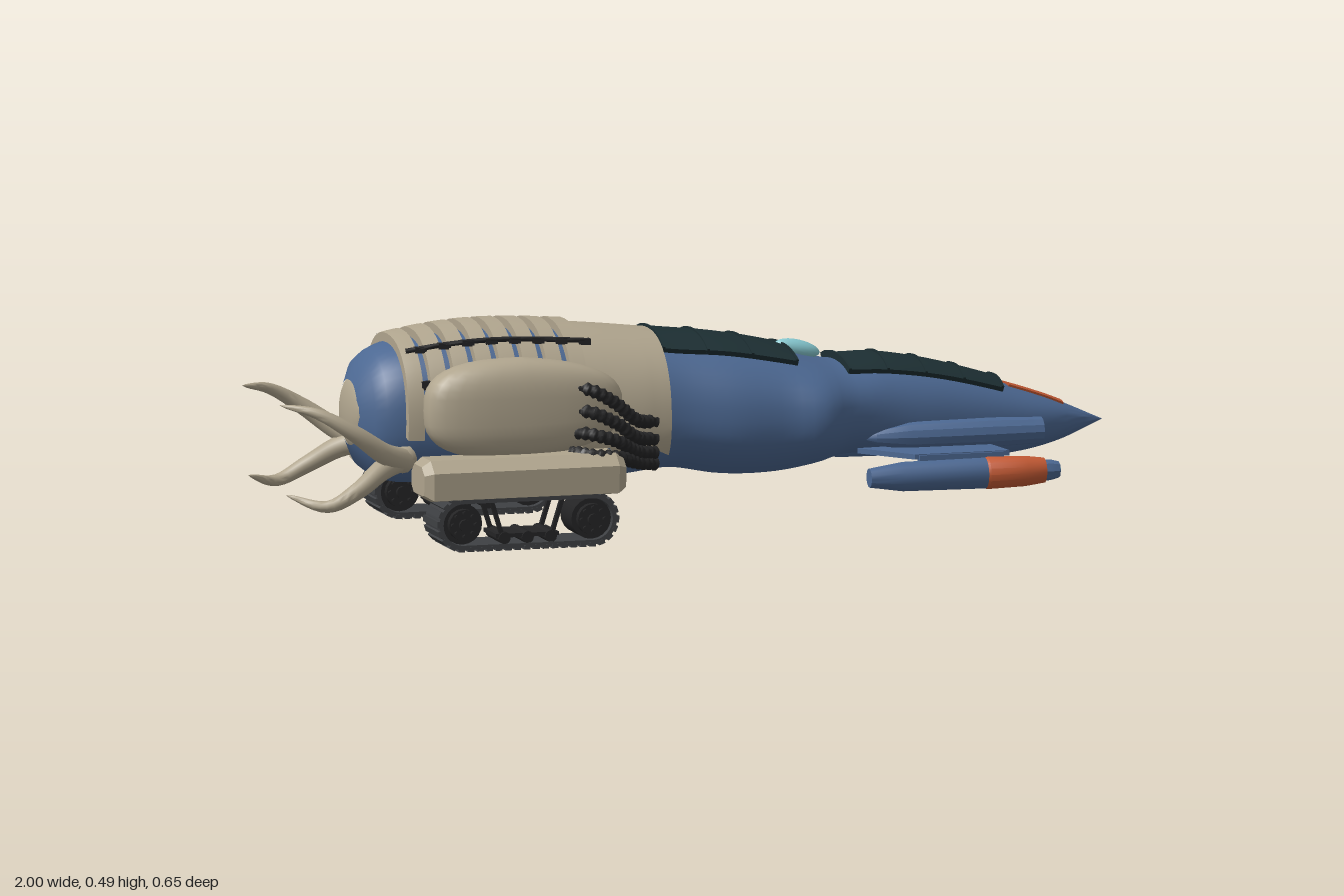
import * as THREE from 'three';
import { toCreasedNormals, mergeGeometries } from 'three/addons/utils/BufferGeometryUtils.js';

const paint = (color) => new THREE.MeshStandardMaterial({ color });
const V = (x, y, z) => new THREE.Vector3(x, y, z);

// Hull stations along x: half width, bottom, top, height of the widest line
const stations = [
  [-0.79, 0.07, 0.21, 0.36, 0.28], [-0.77, 0.12, 0.165, 0.4, 0.28], [-0.72, 0.152, 0.13, 0.435, 0.28],
  [-0.65, 0.165, 0.12, 0.452, 0.28], [-0.5, 0.178, 0.11, 0.468, 0.28], [-0.27, 0.185, 0.11, 0.458, 0.27],
  [-0.15, 0.188, 0.12, 0.446, 0.26], [-0.05, 0.185, 0.13, 0.434, 0.26], [0.08, 0.202, 0.11, 0.418, 0.25],
  [0.2, 0.205, 0.11, 0.395, 0.25], [0.29, 0.216, 0.125, 0.37, 0.25], [0.36, 0.178, 0.142, 0.355, 0.25],
  [0.45, 0.15, 0.14, 0.356, 0.24], [0.58, 0.13, 0.128, 0.335, 0.225], [0.75, 0.1, 0.122, 0.287, 0.205],
  [0.88, 0.066, 0.145, 0.243, 0.195], [1, 0, 0.19, 0.19, 0.19],
];
const sampler = new THREE.CubicInterpolant(
  stations.map((s) => s[0]), new Float64Array(stations.flatMap((s) => s.slice(1))), 4);
const soft = (t) => Math.sign(t) * Math.pow(Math.abs(t), 0.87);

// Point on the hull at x; a = angle from the top, grow = offset outwards
function hullPoint(x, a, grow = 0) {
  const [w, yb, yt, ym] = sampler.evaluate(x);
  const c = soft(Math.cos(a));
  return V(x, ym + c * (c > 0 ? yt - ym + grow : ym - yb + grow), (w + grow) * soft(Math.sin(a)));
}

// Surface from a rule p(u, v)
function grid(p, nu, nv, crease = 0.6) {
  const pos = [], index = [];
  for (let i = 0; i <= nu; i++) for (let j = 0; j <= nv; j++) pos.push(...p(i / nu, j / nv, i, j).toArray());
  for (let i = 0; i < nu; i++) for (let j = 0; j < nv; j++) {
    const a = i * (nv + 1) + j, c = a + nv + 1;
    index.push(a, a + 1, c, a + 1, c + 1, c);
  }
  const g = new THREE.BufferGeometry();
  g.setAttribute('position', new THREE.Float32BufferAttribute(pos, 3));
  g.setIndex(index);
  return toCreasedNormals(g, crease);
}

// Raised panel following the hull; half(x) gives its half angle
function panel(x0, x1, half, grow, nu = 6, nv = 20) {
  return grid((u, v, i, j) => {
    const edge = i === 0 || i === nu || j === 0 || j === nv;
    const cu = Math.min(Math.max((i - 1) / (nu - 2), 0), 1), cv = Math.min(Math.max((j - 1) / (nv - 2), 0), 1);
    const x = x0 + (x1 - x0) * cu;
    return hullPoint(x, half(x) * (cv * 2 - 1), edge ? -0.006 : grow);
  }, nu, nv);
}
const halfAngle = (z, x) => Math.asin(Math.min(1, Math.pow(z / sampler.evaluate(x)[0], 1 / 0.87)));

// Round sweep with a varying radius
function sweep(points, radius, nu, nv) {
  const curve = new THREE.CatmullRomCurve3(points), f = curve.computeFrenetFrames(nu);
  return grid((u, v, i) => curve.getPointAt(u)
    .addScaledVector(f.normals[i], radius(u) * Math.cos(v * Math.PI * 2))
    .addScaledVector(f.binormals[i], radius(u) * Math.sin(v * Math.PI * 2)), nu, nv, 1);
}

// Turned part along x from [x, radius] pairs
function turned(profile, y, z, sides = 16) {
  const g = new THREE.LatheGeometry(profile.map(([x, r]) => new THREE.Vector2(r, x)), sides);
  return toCreasedNormals(g.rotateZ(-Math.PI / 2).translate(0, y, z), 0.5);
}
const disc = (r, depth, x, y, z, sides = 16) =>
  new THREE.CylinderGeometry(r, r, depth, sides).rotateX(Math.PI / 2).translate(x, y, z);

function mirrored(geo) {
  const g = (geo.index ? geo.toNonIndexed() : geo.clone()).scale(1, 1, -1);
  for (const a of Object.values(g.attributes)) {
    const n = a.itemSize;
    for (let t = 0; t < a.count; t += 3) for (let k = 0; k < n; k++) {
      const p = (t + 1) * n + k, q = p + n, keep = a.array[p];
      a.array[p] = a.array[q];
      a.array[q] = keep;
    }
  }
  return g;
}

export function createModel() {
  const root = new THREE.Group();
  const blue = paint(0x4c6892), beige = paint(0xb0a58e), black = paint(0x242425), steel = paint(0x3e4043);
  const glass = paint(0x1d2f33), cyan = paint(0x86c8d0), orange = paint(0xc45a34);
  const add = (name, geo, mat) => {
    const m = new THREE.Mesh(geo, mat);
    m.name = name;
    root.add(m);
  };
  const pair = (name, geo, mat) => {
    add(name + 'Front', geo, mat);
    add(name + 'Back', mirrored(geo), mat);
  };

  // Hull and tail cap
  add('hull', grid((u, v) => hullPoint(-0.79 + 1.79 * u, v * Math.PI * 2), 72, 40, 0.7), blue);
  add('tailCap', new THREE.SphereGeometry(1, 20, 12).scale(0.03, 0.085, 0.085).translate(-0.775, 0.285, 0), beige);

  // Armour collar with a ragged lower edge
  add('collar', panel(-0.29, -0.08, (x) => 2.0 + 0.12 * Math.sin(x * 60), 0.011, 12, 36), beige);

  // Arched ribs over the engine, with dark lines between and two long rods
  for (let i = 0; i < 8; i++) {
    const x = -0.7 + i * 0.055;
    add('rib', panel(x, x + 0.037, () => 1.75, 0.02, 5, 28), beige);
    for (const s of [-1, 1]) {
      const p = hullPoint(x + 0.046, s * 0.62, 0.02);
      add('ribClamp', new THREE.BoxGeometry(0.028, 0.014, 0.016).translate(p.x, p.y, p.z), black);
      const q = hullPoint(x + 0.046, s * 1.15, 0.014);
      add('ribClamp', new THREE.BoxGeometry(0.024, 0.02, 0.014).translate(q.x, q.y, q.z), black);
    }
  }
  const rod = [-0.69, -0.6, -0.5, -0.4, -0.27].map((x) => hullPoint(x, 0.62, 0.024));
  pair('longRod', sweep(rod, () => 0.006, 20, 8), black);

  // Canopies with raised frames
  for (const [x0, x1, z0, z1, frames] of [[-0.08, 0.24, 0.115, 0.125, 4], [0.365, 0.745, 0.108, 0.066, 5]]) {
    const half = (x) => halfAngle(z0 + (z1 - z0) * (x - x0) / (x1 - x0), x);
    add('canopy', panel(x0, x1, half, 0.013, 14, 20), glass);
    for (let i = 0; i < frames; i++) {
      const x = x0 + (x1 - x0 - 0.006) * i / (frames - 1);
      add('canopyFrame', panel(x, x + 0.006, half, 0.017, 4, 20), glass);
    }
  }
  add('nosePanel', panel(0.77, 0.9, (x) => halfAngle(0.027, x), 0.005, 6, 8), orange);
  add('beacon', new THREE.SphereGeometry(1, 16, 12).scale(0.055, 0.02, 0.021).rotateZ(-0.25).translate(0.275, 0.385, 0), cyan);

  // Rounded side housings
  const housing = new THREE.SphereGeometry(1, 28, 20);
  const hp = housing.attributes.position;
  const box = (t) => Math.sign(t) * Math.pow(Math.abs(t), 0.7);
  for (let i = 0; i < hp.count; i++) {
    const x = box(hp.getX(i)), slim = 1 - 0.2 * Math.max(0, x);
    hp.setXYZ(i, -0.435 + 0.235 * x, 0.31 + 0.115 * box(hp.getY(i)) * slim, 0.2 + 0.07 * box(hp.getZ(i)) * slim);
  }
  housing.computeVertexNormals();
  pair('sideHousing', housing, beige);

  // Track skirts: chamfered bars along x
  const oct = new THREE.Shape([[-0.05, -0.03], [-0.035, -0.033], [0.035, -0.033], [0.053, -0.018], [0.053, 0.012],
    [0.03, 0.033], [-0.03, 0.033], [-0.053, 0.015]].map((p) => new THREE.Vector2(...p)));
  pair('trackSkirt', new THREE.ExtrudeGeometry(oct, { depth: 0.44, bevelSize: 0.014, bevelThickness: 0.02, bevelSegments: 1 })
    .rotateY(Math.PI / 2).translate(-0.68, 0.163, 0.252), beige);

  // Track belt
  const xa = -0.608, xb = -0.302, yc = 0.063, zc = 0.253;
  const loop = (shape, r) => shape.absarc(xa, yc, r, Math.PI / 2, Math.PI * 1.5)
    .absarc(xb, yc, r, -Math.PI / 2, Math.PI / 2).closePath();
  const belt = loop(new THREE.Shape(), 0.058);
  belt.holes.push(loop(new THREE.Path(), 0.048));
  pair('trackBelt', new THREE.ExtrudeGeometry(belt, { depth: 0.114, bevelEnabled: false, curveSegments: 14 })
    .translate(0, 0, zc - 0.057), steel);
  const lugPath = loop(new THREE.Path(), 0.058), lugs = [];
  for (let i = 0; i < 44; i++) {
    const p = lugPath.getPointAt(i / 44), t = lugPath.getTangentAt(i / 44);
    lugs.push(new THREE.BoxGeometry(0.015, 0.01, 0.116).rotateZ(Math.atan2(t.y, t.x)).translate(p.x, p.y, zc));
  }
  pair('trackLugs', mergeGeometries(lugs), steel);

  // Wheels, hubs, bolts, rollers and struts
  const gear = [];
  for (const x of [xa, xb]) {
    gear.push(disc(0.047, 0.09, x, yc, zc, 20), disc(0.036, 0.124, x, yc, zc), disc(0.014, 0.142, x, yc, zc, 10));
    for (let k = 0; k < 8; k++) {
      const a = k * Math.PI / 4;
      gear.push(disc(0.006, 0.14, x + 0.027 * Math.cos(a), yc + 0.027 * Math.sin(a), zc, 6));
    }
  }
  for (const x of [-0.51, -0.455, -0.4]) gear.push(disc(0.014, 0.11, x, 0.028, zc, 12));
  gear.push(new THREE.BoxGeometry(0.15, 0.009, 0.1).translate(-0.455, 0.033, zc));
  for (const s of [-1, 1]) for (const z of [-0.045, 0.045]) {
    gear.push(new THREE.BoxGeometry(0.009, 0.1, 0.012).rotateZ(-s * 0.3).translate(-0.455 + s * 0.073, 0.078, zc + z));
  }
  pair('trackWheels', mergeGeometries(gear), black);

  // Ribbed hoses from the housings to the hull
  [[0.355, 0.262], [0.305, 0.222], [0.255, 0.19], [0.208, 0.165]].forEach(([y0, y1], i) => {
    const z = 0.252 + 0.008 * i;
    pair('hose', sweep([V(-0.33, y0, 0.235), V(-0.29, y0 - 0.004, z), V(-0.23, (y0 + y1) / 2 + 0.01, z - 0.006),
      V(-0.17, y1 + 0.01, 0.222), V(-0.12, y1, 0.188)], (u) => 0.0145 + 0.0022 * Math.cos(u * Math.PI * 28), 84, 10), black);
  });

  // Tail tusks
  const taper = (r) => (u) => r * Math.pow(1 - u, 0.6);
  pair('upperTusk', sweep([V(-0.7, 0.19, 0.145), V(-0.76, 0.215, 0.19), V(-0.84, 0.27, 0.212), V(-0.92, 0.315, 0.197),
    V(-1, 0.333, 0.15)], taper(0.029), 24, 12), beige);
  pair('lowerTusk', sweep([V(-0.69, 0.2, 0.14), V(-0.76, 0.178, 0.175), V(-0.83, 0.135, 0.205), V(-0.9, 0.102, 0.205),
    V(-0.985, 0.125, 0.15)], taper(0.029), 24, 12), beige);

  // Wings and outer pods
  const wing = new THREE.Shape([[0.38, -0.13], [0.68, -0.1], [0.705, -0.255], [0.48, -0.255]].map((p) => new THREE.Vector2(...p)));
  pair('wing', new THREE.ExtrudeGeometry(wing, { depth: 0.012, bevelEnabled: false }).rotateX(-Math.PI / 2).translate(0, 0.157, 0), blue);
  pair('podPylon', new THREE.BoxGeometry(0.2, 0.03, 0.02).translate(0.59, 0.152, 0.252), blue);
  pair('outerPod', turned([[0.37, 0], [0.37, 0.022], [0.45, 0.034], [0.645, 0.036]], 0.12, 0.26), blue);
  pair('podBand', turned([[0.645, 0.036], [0.65, 0.038], [0.74, 0.035], [0.785, 0.029], [0.785, 0.02]], 0.12, 0.26), orange);
  pair('podNozzle', turned([[0.775, 0.024], [0.8, 0.024], [0.82, 0.019], [0.82, 0]], 0.12, 0.26, 8), blue);
  pair('podLight', turned([[0.815, 0.009], [0.824, 0.007], [0.825, 0]], 0.12, 0.26, 10), cyan);

  // Inner lamp pods
  pair('lampPod', turned([[0.38, 0], [0.42, 0.018], [0.5, 0.032], [0.7, 0.034], [0.79, 0.031], [0.815, 0.031], [0.815, 0.025],
    [0.805, 0.024]], 0.193, 0.137, 12), blue);
  pair('lamp', turned([[0.8, 0.026], [0.81, 0.024], [0.816, 0.012], [0.818, 0]], 0.193, 0.137), cyan);
  return root;
}
